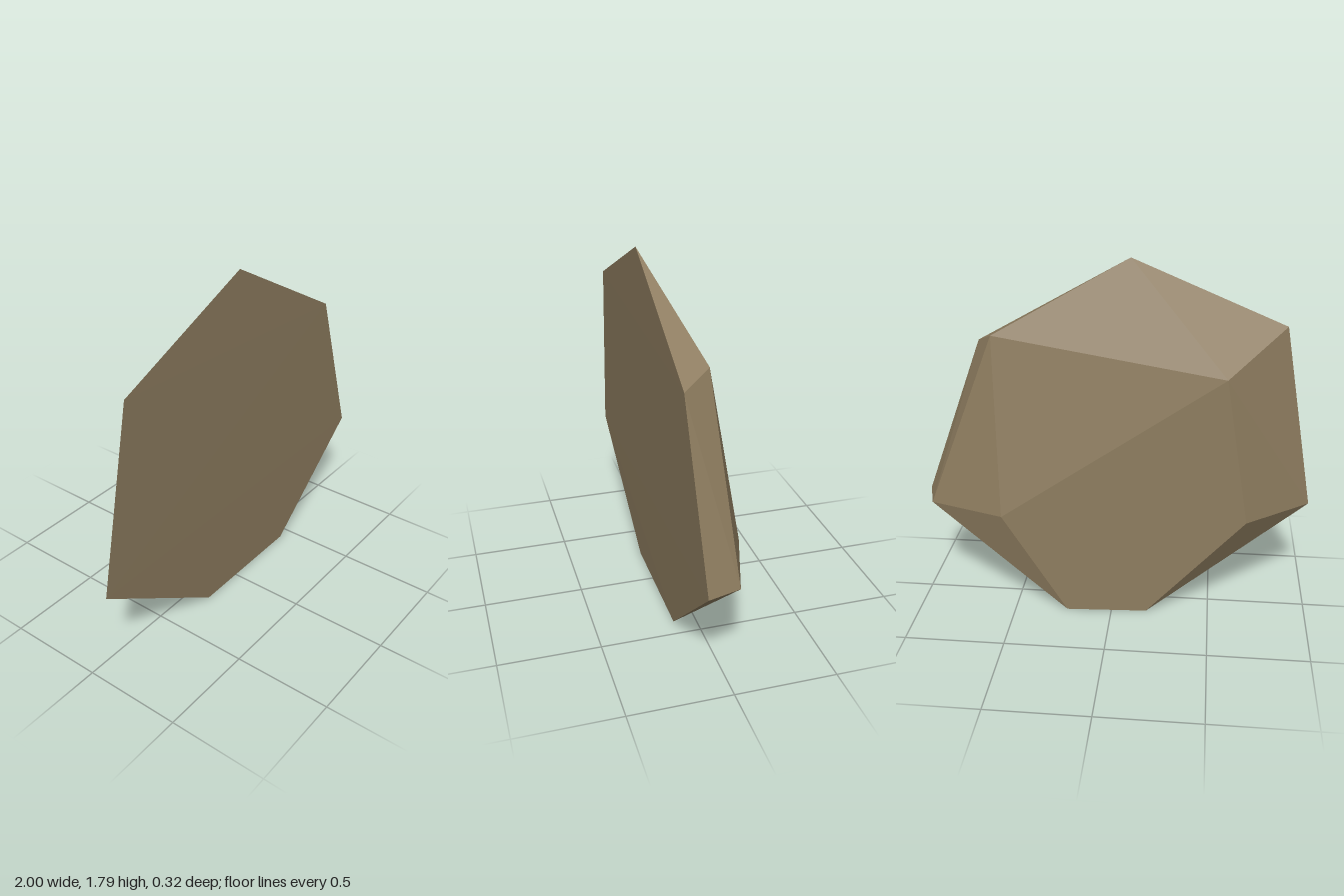
import * as THREE from 'three';
import { ConvexGeometry } from 'three/addons/geometries/ConvexGeometry.js';

const toVectors = (points) => points.map(([x, y, z]) => new THREE.Vector3(x, y, z));

// Broad seven-sided face at the front
const frontRim = toVectors([
  [-0.065, 1.79, 0.16], [-0.835, 1.47, 0.155], [-1, 0.53, 0.134], [-0.245, 0.01, 0.115],
  [0.415, 0.01, 0.115], [1, 0.53, 0.13], [0.7, 1.36, 0.152],
]);

// Smaller, chipped rim behind it; the top corner tapers straight to the front rim
const backRim = toVectors([
  [-0.55, 1.27, -0.088], [-0.675, 0.52, -0.1], [-0.18, 0.003, -0.147],
  [0.23, 0, -0.165], [0.95, 0.525, -0.032], [0.608, 1.425, 0.012],
]);

// Raised ridge corner on the back
const backRidge = toVectors([[0.56, 0.525, -0.162]]);

export function createModel() {
  const stone = new THREE.MeshStandardMaterial({ color: 0x8c7b5e });
  stone.name = 'brown stone';
  stone.flatShading = true;

  const slab = new THREE.Mesh(new ConvexGeometry([...frontRim, ...backRim, ...backRidge]), stone);
  slab.name = 'stoneSlab';

  const group = new THREE.Group();
  group.name = 'rock';
  group.add(slab);
  return group;
}
